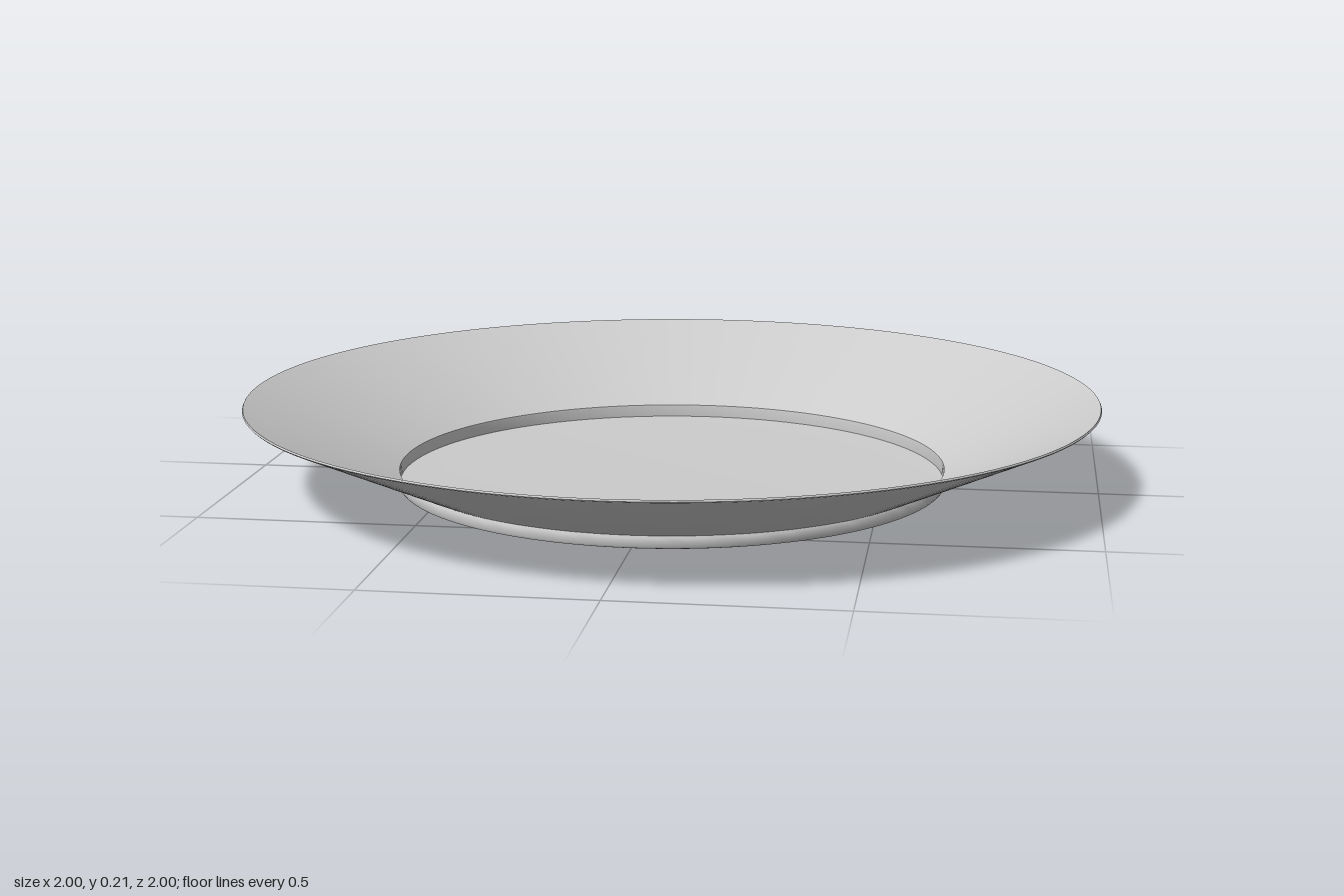
import * as THREE from 'three';
import { toCreasedNormals } from 'three/addons/utils/BufferGeometryUtils.js';

export function createModel() {
  const group = new THREE.Group();
  group.name = 'plate';
  const material = new THREE.MeshStandardMaterial({ color: 0xcccccc });

  // Thin shell: up the outside from the centre of the base, then back down the inside
  const profile = [
    // underside and foot
    [0, 0], [0.55, 0.001], [0.635, 0.006], [0.645, 0.009], [0.648, 0.014], [0.648, 0.032], [0.645, 0.037],
    // flared rim and thin lip
    [0.997, 0.2], [1, 0.203], [0.998, 0.207],
    // inner slope, step and floor
    [0.643, 0.041], [0.642, 0.036], [0.642, 0.011], [0.55, 0.007], [0, 0.006],
  ].map(([x, y]) => new THREE.Vector2(x, y));

  const dish = new THREE.Mesh(toCreasedNormals(new THREE.LatheGeometry(profile, 128), 0.6), material);
  dish.name = 'dish';
  group.add(dish);
  return group;
}
